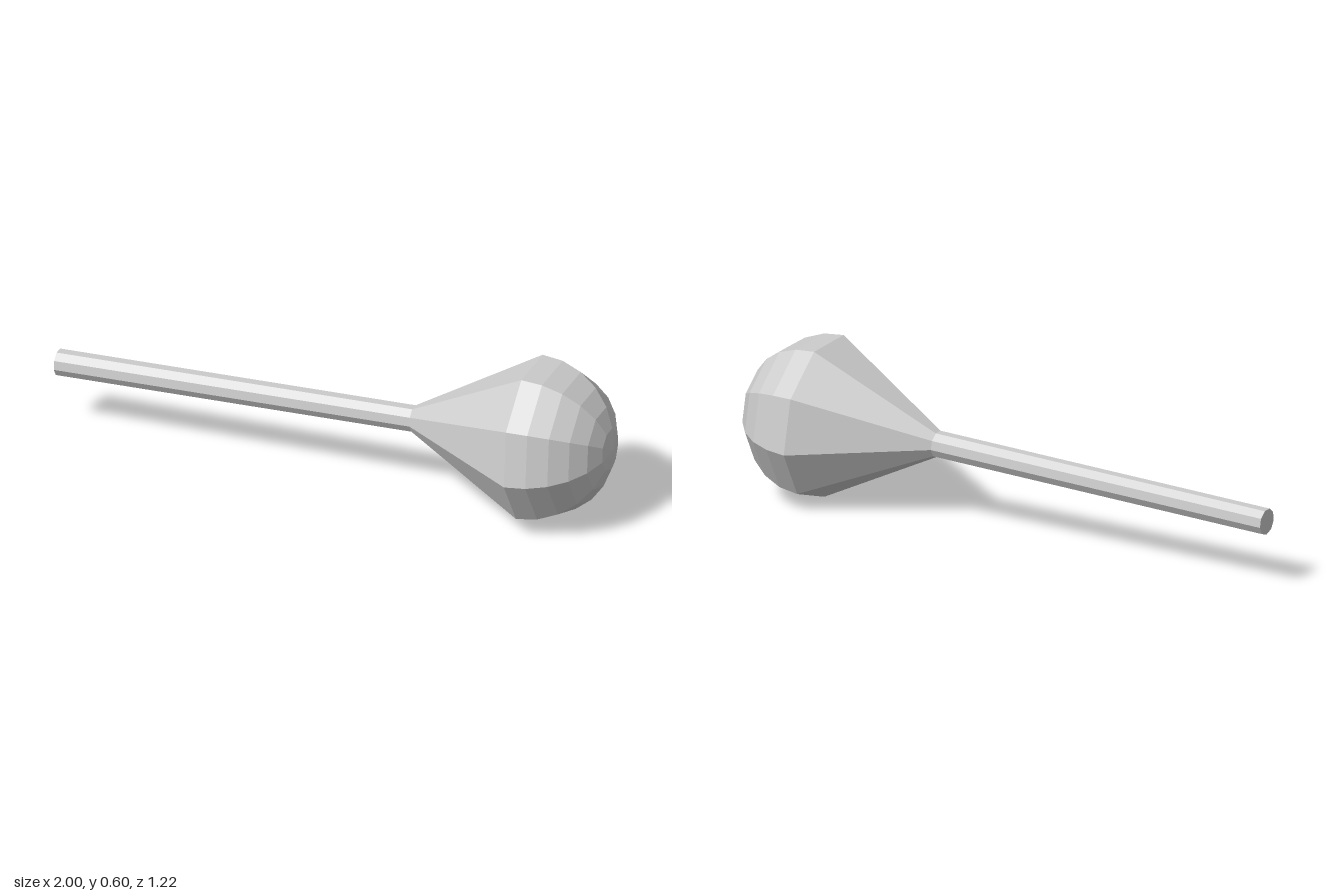
import * as THREE from 'three';

const SIDES = 9;
const HANDLE_LENGTH = 1.405, HANDLE_R = 0.05;
const CONE_LENGTH = 0.474, HEAD_R = 0.31;

const material = new THREE.MeshStandardMaterial({ color: 0xcccccc, flatShading: true });

// Faceted surface of revolution from [radius, height] pairs
function turned(name, profile) {
  const points = profile.map(([r, h]) => new THREE.Vector2(r, h));
  const mesh = new THREE.Mesh(new THREE.LatheGeometry(points, SIDES), material);
  mesh.name = name;
  return mesh;
}

export function createModel() {
  const group = new THREE.Group();
  group.name = 'club';

  // Thin straight handle with a closed end
  group.add(turned('handle', [[0, 0], [HANDLE_R, 0], [HANDLE_R, HANDLE_LENGTH]]));

  // Cone flaring from the handle to the head
  const rim = HANDLE_LENGTH + CONE_LENGTH;
  group.add(turned('neckCone', [[HANDLE_R, HANDLE_LENGTH], [HEAD_R, rim]]));

  // Rounded dome closing the head
  const dome = [];
  for (let i = 0; i <= 6; i++) {
    const a = (i / 6) * Math.PI / 2;
    dome.push([i === 6 ? 0 : HEAD_R * Math.cos(a), rim + HEAD_R * Math.sin(a)]);
  }
  group.add(turned('headDome', dome));

  // Lay the club along its slanted axis with one corner pointing down
  const start = new THREE.Vector3(-0.977, 0.255, -0.568);
  const axis = new THREE.Vector3(0.27, 0.3, 0.083).sub(start).normalize();
  const down = new THREE.Vector3(0, -1, 0);
  down.addScaledVector(axis, -down.dot(axis)).normalize();
  const side = new THREE.Vector3().crossVectors(axis, down);
  group.quaternion.setFromRotationMatrix(new THREE.Matrix4().makeBasis(side, axis, down));
  group.position.copy(start);

  const model = new THREE.Group();
  model.add(group);
  return model;
}
